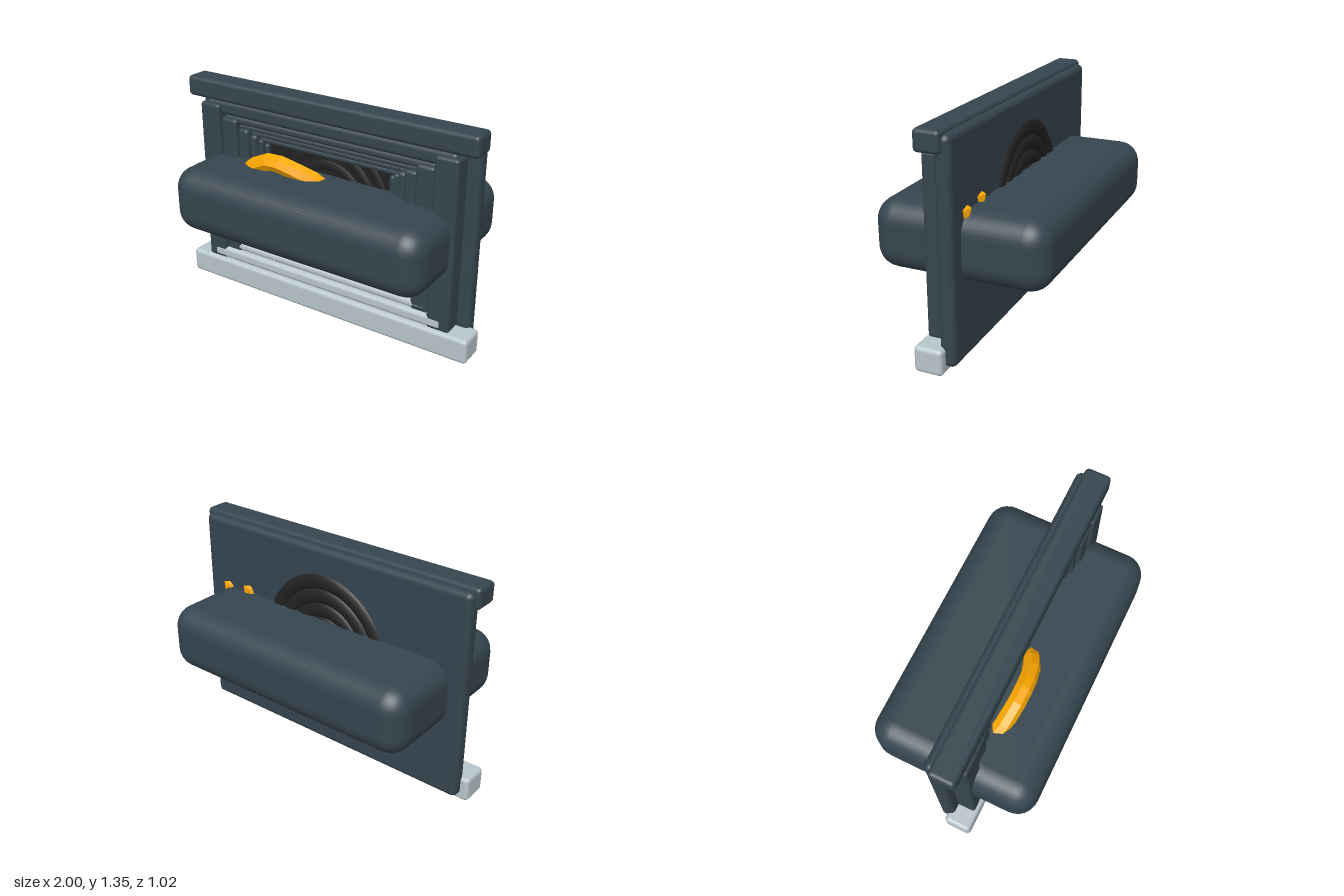
import * as THREE from 'three';
import { RoundedBoxGeometry } from 'three/addons/geometries/RoundedBoxGeometry.js';

const slate = new THREE.MeshStandardMaterial({ color: 0x36454f });
const pale = new THREE.MeshStandardMaterial({ color: 0xb8c6cc });
const black = new THREE.MeshStandardMaterial({ color: 0x222222 });
const orange = new THREE.MeshStandardMaterial({ color: 0xffaa00, flatShading: true });

export function createModel() {
  const model = new THREE.Group();
  model.name = 'steppedPortal';

  function add(name, geometry, material, x = 0, y = 0, z = 0) {
    const mesh = new THREE.Mesh(geometry, material);
    mesh.name = name;
    mesh.position.set(x, y, z);
    model.add(mesh);
    return mesh;
  }

  // Rounded box given by its limits on each axis
  function block(name, material, [x0, x1], [y0, y1], [z0, z1], radius) {
    const w = x1 - x0, h = y1 - y0, d = z1 - z0;
    const r = Math.min(radius, 0.45 * Math.min(w, h, d));
    return add(name, new RoundedBoxGeometry(w, h, d, 4, r), material,
      (x0 + x1) / 2, (y0 + y1) / 2, (z0 + z1) / 2);
  }

  // Main masses
  block('backPlate', slate, [-0.95, 0.95], [0.035, 1.32], [-0.045, 0.05], 0.035);
  block('crossBlock', slate, [-0.85, 0.85], [0.475, 0.88], [-0.51, 0.51], 0.13);

  // Nested frames receding toward the centre
  const pillarEdges = [0.875, 0.73, 0.615, 0.54, 0.49, 0.455, 0.42];
  const pillarTops = [1.2, 1.12, 1.065, 1.035, 1.01, 0.985];
  const lintelEdges = [1.345, 1.22, 1.135, 1.085, 1.055, 1.02, 0.985];
  const lintelHalf = [0.975, 0.85, 0.73, 0.66, 0.61, 0.56];
  const sillEdges = [0, 0.155, 0.23, 0.285, 0.315, 0.345, 0.38];
  const sillHalf = [1, 0.83, 0.725, 0.67, 0.615, 0.565];
  for (let i = 0; i < 6; i++) {
    const step = 0.016 * i;
    const back = i === 0 ? 0 : 0.03;
    for (const side of [-1, 1]) {
      const xs = [side * pillarEdges[i], side * pillarEdges[i + 1]].sort((a, b) => a - b);
      block('pillar' + (i + 1), slate, xs, [sillEdges[i + 1] - 0.005, pillarTops[i]],
        [0.03, 0.16 - step], 0.02);
    }
    block('lintel' + (i + 1), slate, [-lintelHalf[i], lintelHalf[i]],
      [lintelEdges[i + 1], lintelEdges[i]], [i ? back : -0.005, 0.15 - step], 0.025);
    block('sill' + (i + 1), pale, [-sillHalf[i], sillHalf[i]],
      [sillEdges[i], sillEdges[i + 1]], [i ? back : 0.01, 0.18 - 0.018 * i], 0.025);
  }

  // Dark panel and concentric oval rings showing on both faces
  block('darkPanel', black, [-0.44, 0.44], [0.36, 1.0], [0.03, 0.054], 0.005);
  for (const radius of [0.08, 0.16, 0.24, 0.32, 0.4]) {
    const ring = add('ring', new THREE.TorusGeometry(radius, 0.062, 16, 64), black, 0, 0.675, 0);
    ring.scale.y = 1.1;
  }

  // Pale drops hanging in the grooves between the rings
  for (const y of [0.46, 0.37, 0.28]) {
    const drop = add('drop', new THREE.SphereGeometry(0.06, 16, 12), pale, 0, y, 0);
    drop.scale.set(0.4, 0.5, 1);
  }
  const tip = add('pendantTip', new THREE.ConeGeometry(0.05, 0.1, 16), pale, 0, 0.465, 0.04);
  tip.rotation.x = Math.PI;

  // Faceted arch rising from the block
  const path = new THREE.CurvePath();
  const points = [
    [-0.58, 0.78, 0.12], [-0.47, 0.865, 0.165], [-0.3, 0.945, 0.19],
    [-0.13, 0.91, 0.18], [-0.01, 0.85, 0.13], [0.05, 0.76, 0.09],
  ].map((p) => new THREE.Vector3(...p));
  for (let i = 1; i < points.length; i++) path.add(new THREE.LineCurve3(points[i - 1], points[i]));
  add('arch', new THREE.TubeGeometry(path, 10, 0.054, 7, false), orange);

  // Small faceted tips emerging behind the plate
  for (const [x, y] of [[0.61, 0.89], [0.78, 0.87]]) {
    const stud = add('rearTip', new THREE.IcosahedronGeometry(0.055, 0), orange, x, y, -0.02);
    stud.rotation.z = 0.5;
  }
  return model;
}
